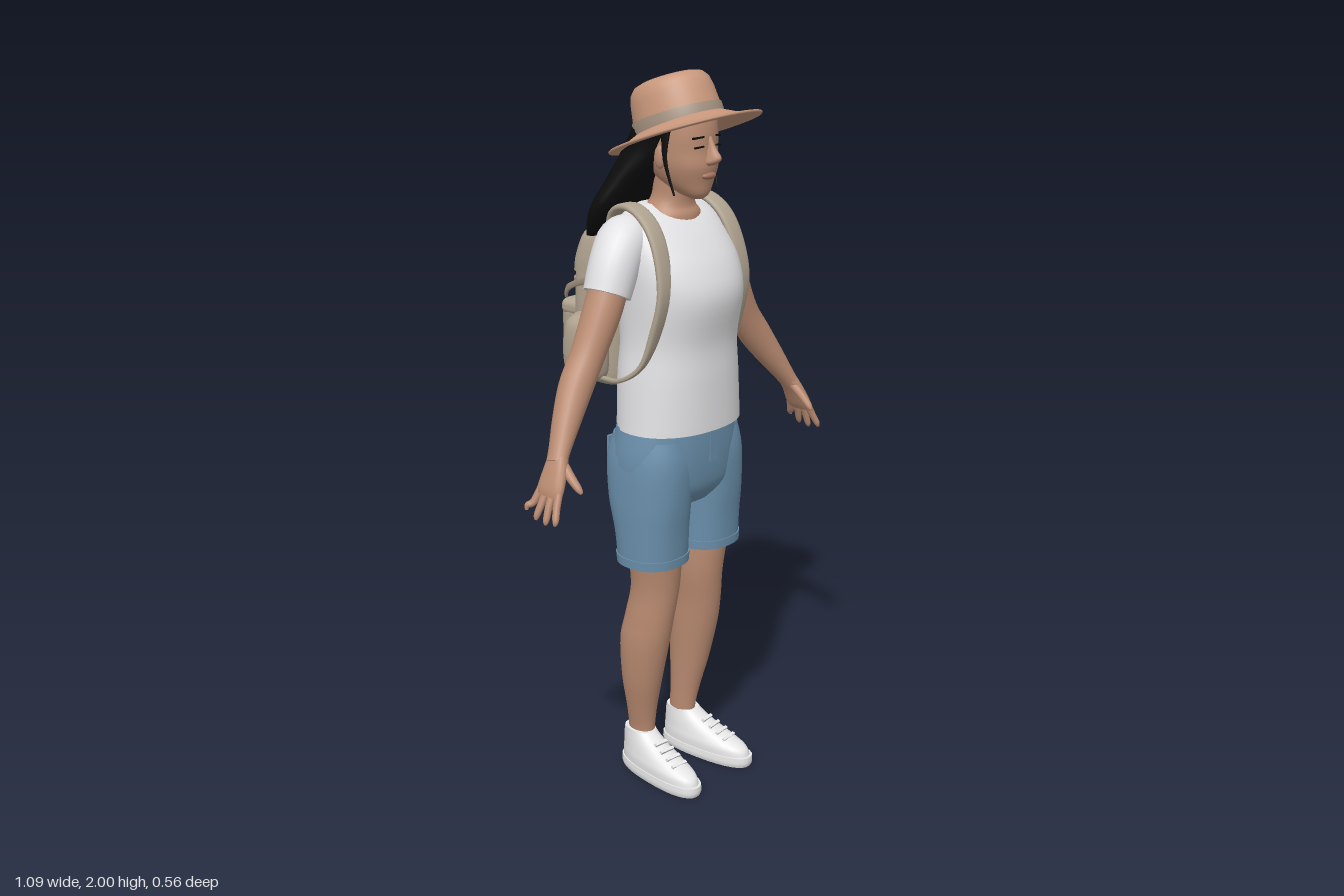
import * as THREE from 'three';
import { RoundedBoxGeometry } from 'three/addons/geometries/RoundedBoxGeometry.js';

const mat = (name, color, side = THREE.FrontSide) => {
  const m = new THREE.MeshStandardMaterial({ color, side });
  m.name = name;
  return m;
};

// Smooth resampling of rows of numbers
function resample(rows, steps) {
  const out = [];
  const at = i => rows[Math.min(Math.max(i, 0), rows.length - 1)];
  for (let i = 0; i < rows.length - 1; i++) {
    const a = at(i - 1), b = at(i), c = at(i + 1), d = at(i + 2);
    for (let k = 0; k < steps; k++) {
      const t = k / steps;
      out.push(b.map((_, j) => {
        const cubic = 3 * (b[j] - c[j]) + d[j] - a[j];
        const square = 2 * a[j] - 5 * b[j] + 4 * c[j] - d[j];
        return b[j] + 0.5 * t * (c[j] - a[j] + t * (square + t * cubic));
      }));
    }
  }
  out.push(rows[rows.length - 1]);
  return out;
}

// Closed skin over rings {c, u, v}, with flat end caps
function skin(rings, seg, power) {
  const pos = [], idx = [];
  const pw = x => Math.sign(x) * Math.pow(Math.abs(x), 2 / power);
  const ring = r => {
    const start = pos.length / 3;
    for (let j = 0; j < seg; j++) {
      const a = j / seg * Math.PI * 2;
      const p = r.c.clone().addScaledVector(r.u, pw(Math.cos(a))).addScaledVector(r.v, pw(Math.sin(a)));
      pos.push(p.x, p.y, p.z);
    }
    return start;
  };
  rings.forEach((r, i) => {
    const b = ring(r), a = b - seg;
    if (i) for (let j = 0; j < seg; j++) {
      const k = (j + 1) % seg;
      idx.push(a + j, b + j, a + k, b + j, b + k, a + k);
    }
  });
  [rings[0], rings[rings.length - 1]].forEach((r, end) => {
    const s = ring(r), centre = pos.length / 3;
    pos.push(r.c.x, r.c.y, r.c.z);
    for (let j = 0; j < seg; j++) {
      const k = (j + 1) % seg;
      if (end) idx.push(s + j, centre, s + k); else idx.push(s + k, centre, s + j);
    }
  });
  const g = new THREE.BufferGeometry();
  g.setAttribute('position', new THREE.Float32BufferAttribute(pos, 3));
  g.setIndex(idx);
  g.computeVertexNormals();
  return g;
}

// Horizontal rings, bottom to top: [y, centreX, centreZ, radiusX, radiusZ]
const loft = (rows, power = 2, seg = 32) => skin(resample(rows, 5).map(([y, x, z, rx, rz]) => ({
  c: new THREE.Vector3(x, y, z), u: new THREE.Vector3(rx, 0, 0), v: new THREE.Vector3(0, 0, rz),
})), seg, power);

// Rings square to a path: [x, y, z, thickness, width], width lying along ref
function limb(rows, ref = [0, 0, 1], seg = 14, power = 2) {
  const pts = resample(rows, 5), P = pts.map(p => new THREE.Vector3(p[0], p[1], p[2]));
  return skin(pts.map((p, i) => {
    const t = P[Math.min(i + 1, P.length - 1)].clone().sub(P[Math.max(i - 1, 0)]).normalize();
    const v = new THREE.Vector3(...ref);
    v.addScaledVector(t, -v.dot(t)).normalize();
    const u = t.clone().cross(v);
    return { c: P[i], u: u.multiplyScalar(p[3]), v: v.multiplyScalar(p[4]) };
  }), seg, power);
}

export function createModel() {
  const root = new THREE.Group();
  const M = {
    skin: mat('skin', 0xbb8c72), lips: mat('lips', 0xa8745f), hair: mat('black hair', 0x0c0c0c),
    shirt: mat('white shirt', 0xe2e2e4), denim: mat('blue denim', 0x6a8fab),
    hat: mat('tan felt', 0xc9987c, THREE.DoubleSide), band: mat('hat band', 0xa08e7d, THREE.DoubleSide),
    pack: mat('beige canvas', 0xb0a390), trim: mat('dark canvas', 0x9b8e7c), shoe: mat('white shoe', 0xe9e9e9),
  };
  const add = (name, geo, m, parent = root) => {
    const mesh = new THREE.Mesh(geo, m);
    mesh.name = name;
    parent.add(mesh);
    return mesh;
  };
  const box = (name, size, p, r, m, parent) => {
    const b = add(name, new THREE.BoxGeometry(...size), m, parent);
    b.position.set(...p);
    b.rotation.set(...r);
  };
  const mx = (rows, s) => rows.map(([x, ...rest]) => [x * s, ...rest]);

  // Head and neck
  add('head', loft([[1.674, 0, 0.125, 0.015, 0.015], [1.688, 0, 0.112, 0.038, 0.042], [1.72, 0, 0.085, 0.064, 0.077],
    [1.76, 0, 0.075, 0.08, 0.097], [1.8, 0, 0.068, 0.085, 0.1], [1.85, 0, 0.06, 0.087, 0.108],
    [1.9, 0, 0.055, 0.08, 0.1], [1.93, 0, 0.05, 0.045, 0.06]], 2.1), M.skin);
  add('nose', loft([[1.764, 0, 0.165, 0.014, 0.012], [1.772, 0, 0.168, 0.019, 0.026], [1.786, 0, 0.17, 0.015, 0.034],
    [1.81, 0, 0.165, 0.009, 0.02], [1.838, 0, 0.158, 0.008, 0.012]], 2, 14), M.skin);
  const lips = add('lips', new THREE.SphereGeometry(1, 16, 10), M.lips);
  lips.scale.set(0.026, 0.01, 0.014);
  lips.position.set(0, 1.737, 0.162);
  add('neck', loft([[1.57, 0, 0.025, 0.095, 0.08], [1.625, 0, 0.028, 0.09, 0.076], [1.65, 0, 0.032, 0.07, 0.062],
    [1.68, 0, 0.04, 0.056, 0.056], [1.74, 0, 0.05, 0.055, 0.058]]), M.skin);

  // Long hair falling behind the shoulders
  add('hair', loft([[1.56, 0, -0.14, 0.138, 0.032], [1.6, 0, -0.115, 0.158, 0.045], [1.65, 0, -0.088, 0.163, 0.056],
    [1.72, 0, -0.048, 0.138, 0.066], [1.8, 0, 0.0, 0.107, 0.084], [1.86, 0, 0.035, 0.099, 0.092],
    [1.92, 0, 0.04, 0.085, 0.09]], 2.3), M.hair);

  // Hat tilted back over the head
  const hat = new THREE.Group();
  hat.name = 'hat';
  hat.position.set(0, 1.838, 0.08);
  hat.rotation.x = -0.34;
  root.add(hat);
  const lathe = (name, pts, m, z) => {
    const l = add(name, new THREE.LatheGeometry(pts.map(p => new THREE.Vector2(...p)), 48), m, hat);
    l.scale.x = 0.88;
    l.position.z = z;
  };
  lathe('brim', [[0.115, 0.02], [0.15, 0.006], [0.19, -0.004], [0.214, -0.004], [0.217, 0], [0.214, 0.003],
    [0.185, 0.005], [0.155, 0.014], [0.115, 0.032]], M.hat, 0);
  lathe('crown', [[0.126, 0.02], [0.122, 0.06], [0.117, 0.1], [0.11, 0.125], [0.097, 0.14], [0.075, 0.147],
    [0.04, 0.146], [0, 0.142]], M.hat, -0.012);
  lathe('hatBand', [[0.129, 0.022], [0.1285, 0.03], [0.126, 0.055], [0.121, 0.056]], M.band, -0.012);

  // Shirt body
  add('shirt', loft([[1.06, 0, 0.063, 0.19, 0.138], [1.2, 0, 0.06, 0.18, 0.14], [1.3, 0, 0.062, 0.17, 0.138],
    [1.42, 0, 0.065, 0.175, 0.156], [1.5, 0, 0.055, 0.179, 0.143], [1.57, 0, 0.035, 0.175, 0.115],
    [1.62, 0, 0.018, 0.158, 0.082], [1.645, 0, 0.006, 0.118, 0.052], [1.655, 0, 0, 0.085, 0.035]], 2.2, 40), M.shirt);

  // Shorts hips and fly
  add('shortsHips', loft([[0.84, 0, 0.055, 0.13, 0.08], [0.89, 0, 0.053, 0.19, 0.118], [0.98, 0, 0.052, 0.2, 0.13],
    [1.075, 0, 0.055, 0.184, 0.126]], 2.3, 40), M.denim);
  box('fly', [0.03, 0.09, 0.008], [0.008, 1.01, 0.18], [0, 0, 0], M.denim);

  for (const s of [1, -1]) {
    const side = new THREE.Group();
    side.name = s > 0 ? 'leftSide' : 'rightSide';
    root.add(side);

    // Face details
    box('lashLine', [0.028, 0.004, 0.006], [0.036 * s, 1.812, 0.162], [0, 0.3 * s, -0.1 * s], M.hair, side);
    box('eyebrow', [0.034, 0.005, 0.006], [0.037 * s, 1.836, 0.159], [0, 0.3 * s, -0.1 * s], M.hair, side);
    const ear = add('ear', new THREE.SphereGeometry(1, 12, 10), M.skin, side);
    ear.scale.set(0.01, 0.03, 0.018);
    ear.position.set(0.089 * s, 1.785, 0.075);
    add('hairLock', limb(mx([[0.088, 1.86, 0.095, 0.007, 0.016], [0.092, 1.78, 0.095, 0.004, 0.007],
      [0.084, 1.69, 0.12, 0.002, 0.003]], s)), M.hair, side);

    // Sleeve and arm
    add('sleeve', limb(mx([[0.1, 1.585, 0.005, 0.045, 0.055], [0.155, 1.573, 0.01, 0.065, 0.07],
      [0.2, 1.52, 0.02, 0.067, 0.068], [0.236, 1.444, 0.025, 0.062, 0.064]], s), [0, 0, 1], 24), M.shirt, side);
    add('arm', limb(mx([[0.2, 1.52, 0.02, 0.05, 0.05], [0.25, 1.41, 0.024, 0.051, 0.052], [0.308, 1.3, 0.025, 0.046, 0.046],
      [0.36, 1.225, 0.032, 0.046, 0.045], [0.412, 1.152, 0.05, 0.037, 0.038], [0.455, 1.09, 0.068, 0.026, 0.031],
      [0.475, 1.06, 0.076, 0.022, 0.03]], s), [0, 0, 1], 20), M.skin, side);

    // Hand with four fingers and a thumb
    add('palm', limb(mx([[0.465, 1.075, 0.073, 0.021, 0.028], [0.485, 1.04, 0.08, 0.018, 0.037],
      [0.505, 1.0, 0.084, 0.016, 0.043], [0.513, 0.98, 0.084, 0.011, 0.04]], s), [0, 0, 1], 16, 2.4), M.skin, side);
    for (let f = 0; f < 4; f++) {
      const z = 0.115 - f * 0.021, tz = 0.132 - f * 0.034, tip = [0.921, 0.915, 0.92, 0.938][f];
      add('finger', limb(mx([[0.505, 1.0, z, 0.01, 0.011], [0.524, 0.96, (z + tz) / 2, 0.0095, 0.0105],
        [0.536, tip + 0.012, tz, 0.008, 0.009], [0.54, tip, tz, 0.003, 0.004]], s), [0, 0, 1], 10), M.skin, side);
    }
    add('thumb', limb(mx([[0.468, 1.06, 0.09, 0.013, 0.014], [0.472, 1.03, 0.123, 0.012, 0.013],
      [0.471, 1.005, 0.15, 0.009, 0.01], [0.47, 0.995, 0.16, 0.004, 0.004]], s), [1, 0, 0], 10), M.skin, side);

    // Shorts leg, cuff and back pocket
    add('shortsLeg', loft([[0.68, 0.107 * s, 0.065, 0.094, 0.091], [0.77, 0.107 * s, 0.061, 0.096, 0.1],
      [0.86, 0.106 * s, 0.053, 0.098, 0.117], [0.97, 0.1 * s, 0.049, 0.099, 0.125],
      [1.04, 0.098 * s, 0.052, 0.085, 0.11]], 2.3), M.denim, side);
    add('shortsCuff', loft([[0.68, 0.107 * s, 0.065, 0.097, 0.094], [0.705, 0.107 * s, 0.064, 0.098, 0.096]], 2.3), M.denim, side);
    box('backPocket', [0.08, 0.08, 0.008], [0.1 * s, 0.975, -0.073], [0.03, 0, 0], M.denim, side);

    // Leg
    add('leg', loft([[0.09, 0.09 * s, 0.003, 0.033, 0.043], [0.13, 0.088 * s, 0.002, 0.032, 0.042],
      [0.2, 0.094 * s, 0.008, 0.04, 0.047], [0.3, 0.102 * s, 0.017, 0.053, 0.062], [0.42, 0.104 * s, 0.03, 0.063, 0.076],
      [0.5, 0.1 * s, 0.045, 0.063, 0.074], [0.6, 0.092 * s, 0.06, 0.066, 0.071], [0.72, 0.1 * s, 0.064, 0.076, 0.08]]), M.skin, side);

    // Shoe with sole and laces
    const shoe = new THREE.Group();
    shoe.name = 'shoe';
    shoe.position.x = 0.092 * s;
    shoe.rotation.y = 0.1 * s;
    side.add(shoe);
    add('sole', loft([[0, 0, 0.09, 0.051, 0.151], [0.012, 0, 0.09, 0.054, 0.155], [0.03, 0, 0.09, 0.053, 0.154]], 2.4), M.shoe, shoe);
    add('shoeUpper', loft([[0.028, 0, 0.088, 0.05, 0.149], [0.05, 0, 0.082, 0.05, 0.142], [0.07, 0, 0.06, 0.046, 0.118],
      [0.09, 0, 0.033, 0.042, 0.089], [0.112, 0, 0.01, 0.038, 0.064], [0.128, 0, 0.0, 0.036, 0.05]], 2.3), M.shoe, shoe);
    for (let k = 0; k < 4; k++)
      box('lace', [0.052 - k * 0.003, 0.008, 0.009], [0, 0.072 + k * 0.012, 0.167 - k * 0.026], [0.45, 0, 0], M.shoe, shoe);

    // Backpack shoulder strap, side pocket and side webbing
    add('shoulderStrap', limb(mx([[0.105, 1.5, -0.07, 0.01, 0.026], [0.118, 1.62, -0.06, 0.01, 0.026],
      [0.135, 1.657, 0.01, 0.01, 0.027], [0.142, 1.63, 0.08, 0.01, 0.027], [0.147, 1.56, 0.128, 0.01, 0.026],
      [0.156, 1.45, 0.152, 0.01, 0.024], [0.166, 1.34, 0.128, 0.01, 0.019], [0.18, 1.25, 0.092, 0.007, 0.01],
      [0.185, 1.2, 0.02, 0.006, 0.009], [0.15, 1.18, -0.08, 0.006, 0.009]], s), [1, 0, 0], 16, 3), M.pack, side);
    add('sidePocket', loft([[1.175, 0.155 * s, -0.13, 0.025, 0.04], [1.19, 0.158 * s, -0.132, 0.042, 0.06],
      [1.25, 0.16 * s, -0.133, 0.046, 0.066], [1.32, 0.158 * s, -0.132, 0.041, 0.06],
      [1.35, 0.152 * s, -0.13, 0.022, 0.04]], 2.8), M.pack, side);
    add('sideWebbing', limb(mx([[0.139, 1.45, -0.07, 0.004, 0.009], [0.145, 1.44, -0.14, 0.004, 0.009],
      [0.138, 1.41, -0.215, 0.004, 0.009], [0.128, 1.38, -0.24, 0.004, 0.009]], s), [0, 1, 0], 10, 3), M.trim, side);
    box('flapStrap', [0.018, 0.12, 0.008], [0.07 * s, 1.42, -0.232], [0.06, 0, 0], M.trim, side);
  }

  // Backpack body, flap, rear pocket and handle
  add('packBody', loft([[1.14, 0, -0.135, 0.085, 0.045], [1.155, 0, -0.137, 0.12, 0.072], [1.19, 0, -0.14, 0.135, 0.086],
    [1.35, 0, -0.14, 0.14, 0.09], [1.48, 0, -0.14, 0.133, 0.086], [1.555, 0, -0.135, 0.118, 0.068],
    [1.58, 0, -0.13, 0.08, 0.04]], 3.6, 48), M.pack);
  add('packFlap', loft([[1.455, 0, -0.142, 0.139, 0.092], [1.5, 0, -0.139, 0.136, 0.088], [1.56, 0, -0.133, 0.121, 0.07],
    [1.585, 0, -0.128, 0.085, 0.042], [1.588, 0, -0.126, 0.05, 0.025]], 3.6, 48), M.pack);
  add('packWebbing', loft([[1.418, 0, -0.14, 0.141, 0.095], [1.436, 0, -0.14, 0.14, 0.095]], 3.6, 48), M.trim);
  const pocket = add('rearPocket', new RoundedBoxGeometry(0.25, 0.195, 0.1, 5, 0.04), M.pack);
  pocket.position.set(0, 1.267, -0.23);
  const pocketLid = add('rearPocketLid', new RoundedBoxGeometry(0.254, 0.05, 0.085, 4, 0.022), M.pack);
  pocketLid.position.set(0, 1.345, -0.228);
  const handle = add('packHandle', new THREE.TorusGeometry(0.03, 0.006, 8, 20, Math.PI), M.trim);
  handle.position.set(0, 1.57, -0.075);

  return root;
}
